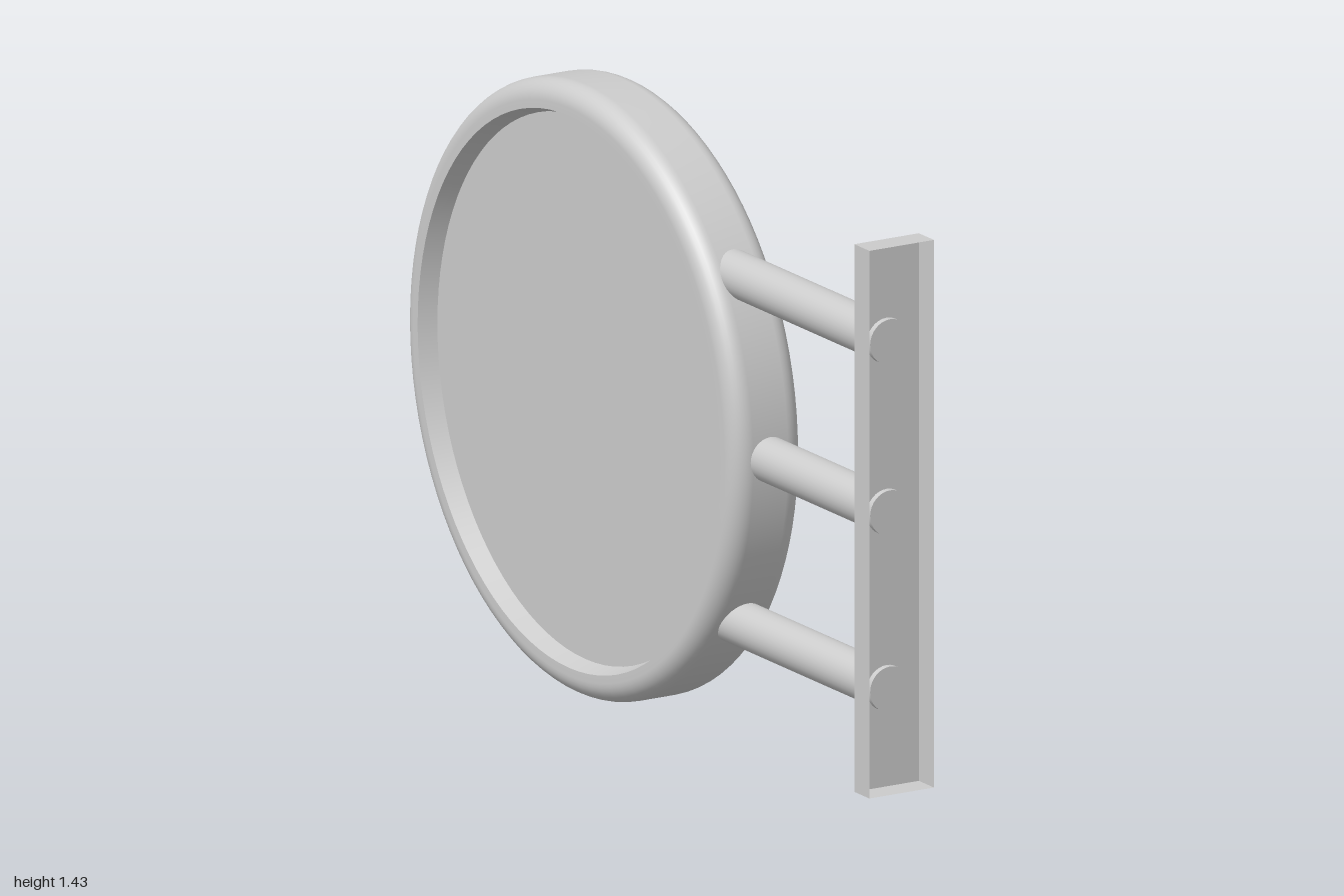
import * as THREE from 'three';

const grey = new THREE.MeshStandardMaterial({ color: 0xcccccc });
const greyDouble = new THREE.MeshStandardMaterial({ color: 0xcccccc, side: THREE.DoubleSide });

const CENTER_Y = 0.72, CENTER_Z = -0.28;
const RADIUS = 0.717, HALF = 0.094, FILLET = 0.048;
const LIP = 0.65, PANEL = 0.636, PANEL_X = 0.05;

function add(group, name, geometry, material = grey) {
  const mesh = new THREE.Mesh(geometry, material);
  mesh.name = name;
  group.add(mesh);
  return mesh;
}

// Lathe geometry turned so that its axis runs along x
function latheX(points) {
  return new THREE.LatheGeometry(points, 96).rotateZ(-Math.PI / 2);
}

export function createModel() {
  const model = new THREE.Group();
  model.name = 'projectingSign';

  // Round sign
  const sign = new THREE.Group();
  sign.name = 'sign';
  sign.position.set(0, CENTER_Y, CENTER_Z);
  model.add(sign);

  // Outer rim with rounded shoulders
  const profile = [new THREE.Vector2(LIP, -HALF)];
  for (const side of [-1, 1]) {
    for (let i = 0; i <= 8; i++) {
      const a = side * (Math.PI / 2) * (side < 0 ? 1 - i / 8 : i / 8);
      profile.push(new THREE.Vector2(
        RADIUS - FILLET + FILLET * Math.cos(a),
        side * (HALF - FILLET) + FILLET * Math.sin(a)));
    }
  }
  profile.push(new THREE.Vector2(LIP, HALF));
  add(sign, 'rim', latheX(profile));

  // Tapered inner lip and recessed panel on both faces
  for (const side of [-1, 1]) {
    const lip = [new THREE.Vector2(LIP, side * HALF), new THREE.Vector2(PANEL, side * PANEL_X)];
    add(sign, 'innerLip', latheX(lip), greyDouble);
    const panel = add(sign, 'panel', new THREE.CircleGeometry(PANEL, 96));
    panel.rotation.y = side * Math.PI / 2;
    panel.position.x = side * PANEL_X;
  }

  // Wall bracket: a shallow tray, open towards the front
  const bracket = new THREE.Group();
  bracket.name = 'wallBracket';
  bracket.position.set(0, CENTER_Y - 0.003, 0);
  model.add(bracket);
  const W = 0.172, H = 1.29, D = 0.065, Z = 1 - D;
  add(bracket, 'bracketBase', new THREE.PlaneGeometry(W, H), greyDouble).position.z = Z;
  for (const side of [-1, 1]) {
    const wall = add(bracket, 'bracketSide', new THREE.PlaneGeometry(D, H), greyDouble);
    wall.rotation.y = side * Math.PI / 2;
    wall.position.set(side * W / 2, 0, Z + D / 2);
    const end = add(bracket, 'bracketEnd', new THREE.PlaneGeometry(W, D), greyDouble);
    end.rotation.x = -side * Math.PI / 2;
    end.position.set(0, side * H / 2, Z + D / 2);
  }

  // Three support arms running into the rim
  for (const [y, back] of [[1.123, 0.25], [0.72, 0.39], [0.305, 0.25]]) {
    const front = 0.95;
    const arm = add(model, 'supportArm', new THREE.CylinderGeometry(0.053, 0.053, front - back, 32));
    arm.rotation.x = Math.PI / 2;
    arm.position.set(0, y, (front + back) / 2);
  }
  return model;
}
